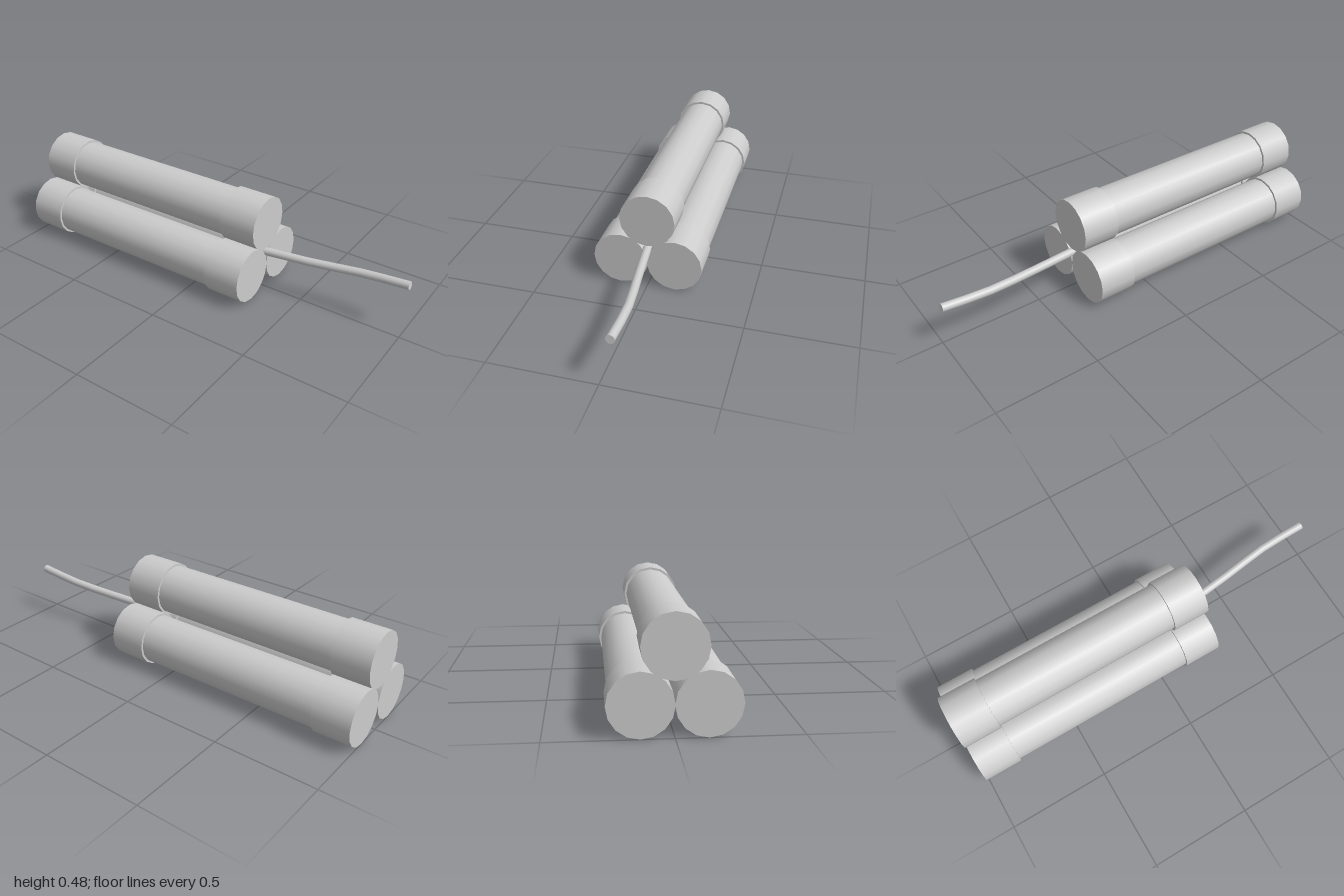
import * as THREE from 'three';

export function createModel() {
  const model = new THREE.Group();
  const lightGrey = new THREE.MeshStandardMaterial({ color: 0xcccccc });
  lightGrey.name = 'lightGrey';

  const add = (parent, name, geometry) => {
    const mesh = new THREE.Mesh(geometry, lightGrey);
    mesh.name = name;
    parent.add(mesh);
    return mesh;
  };

  // Sixteen-sided cylinder lying along x from x0 to x1
  const rod = (radius, x0, x1, open) =>
    new THREE.CylinderGeometry(radius, radius, x1 - x0, 16, 1, open)
      .rotateZ(-Math.PI / 2)
      .translate((x0 + x1) / 2, 0, 0);

  // Three stacked sticks, each with a wider cap at both ends
  const sticks = [['topStick', 0.353, 0], ['frontStick', 0.131, 0.13], ['backStick', 0.131, -0.13]];
  for (const [name, y, z] of sticks) {
    const stick = new THREE.Group();
    stick.name = name;
    stick.position.set(0, y, z);
    add(stick, 'stickBody', rod(0.12, -0.9, 0.2, true));
    add(stick, 'rearCap', rod(0.131, -1, -0.815));
    add(stick, 'fuseEndCap', rod(0.131, 0.12, 0.305));
    model.add(stick);
  }

  // Bent fuse rising out of the gap between the sticks
  const fusePath = new THREE.CatmullRomCurve3([
    new THREE.Vector3(0.29, 0.2, 0.002),
    new THREE.Vector3(0.54, 0.209, -0.026),
    new THREE.Vector3(0.77, 0.226, -0.054),
    new THREE.Vector3(0.998, 0.246, -0.056),
  ]);
  const fuse = new THREE.Group();
  fuse.name = 'fuse';
  add(fuse, 'fuseCord', new THREE.TubeGeometry(fusePath, 6, 0.02, 16));
  for (const [name, t, way] of [['fuseTip', 1, 1], ['fuseRoot', 0, -1]]) {
    const end = add(fuse, name, new THREE.CircleGeometry(0.02, 16));
    end.position.copy(fusePath.getPointAt(t));
    end.lookAt(end.position.clone().addScaledVector(fusePath.getTangentAt(t), way));
  }
  model.add(fuse);

  return model;
}
